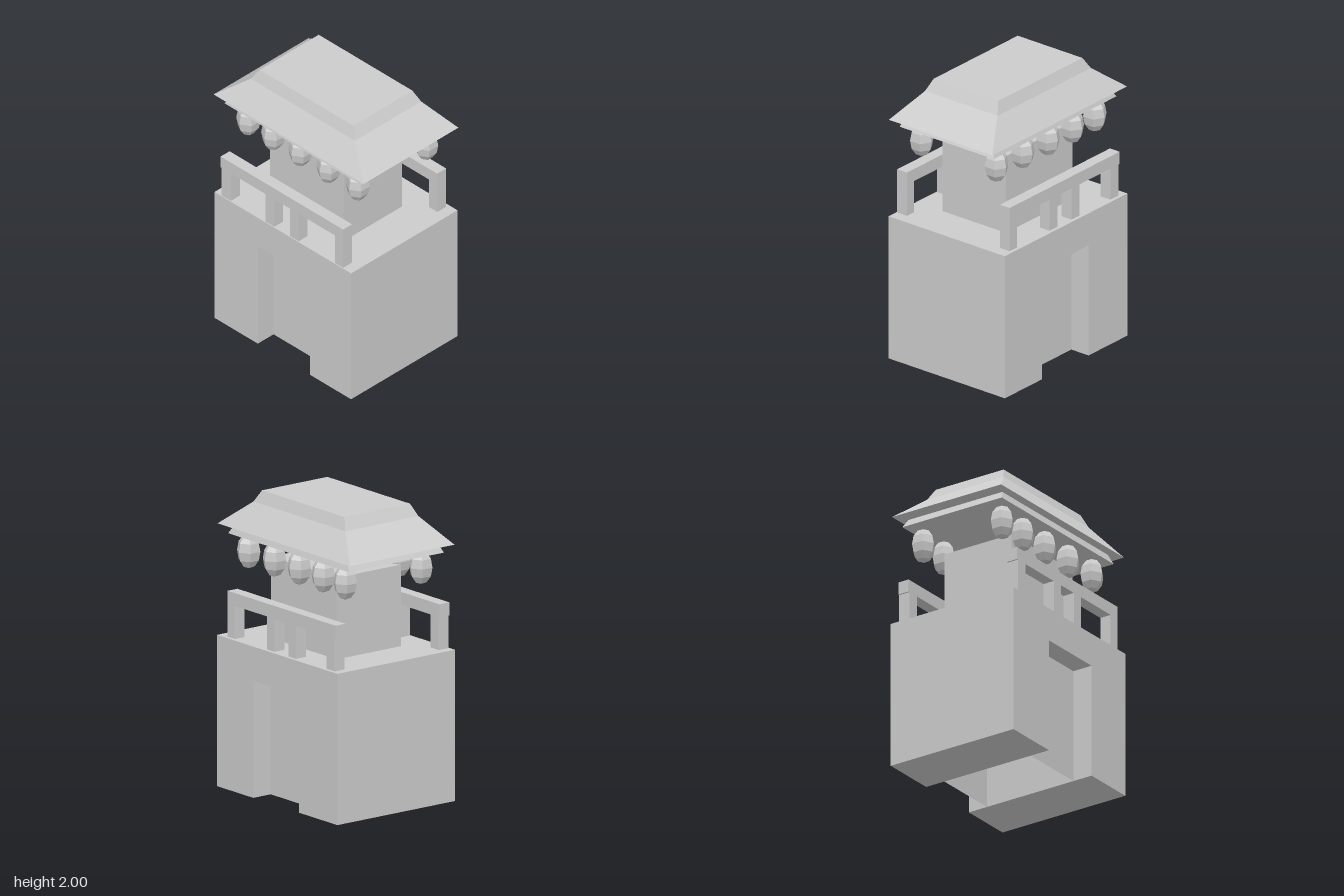
import * as THREE from 'three';

const material = new THREE.MeshStandardMaterial({ color: 0xcccccc, flatShading: true });
const thinMaterial = new THREE.MeshStandardMaterial({ color: 0xcccccc, flatShading: true, side: THREE.DoubleSide });

function add(parent, name, geometry, mat = material) {
  const mesh = new THREE.Mesh(geometry, mat);
  mesh.name = name;
  parent.add(mesh);
  return mesh;
}

// Box given by its extents on each axis
function block(parent, name, [x0, x1], [y0, y1], [z0, z1]) {
  const mesh = add(parent, name, new THREE.BoxGeometry(x1 - x0, y1 - y0, z1 - z0));
  mesh.position.set((x0 + x1) / 2, (y0 + y1) / 2, (z0 + z1) / 2);
  return mesh;
}

// Closed solid through stacked rectangles [y, halfWidth, halfDepth], bottom to top
function stackedRectangles(levels) {
  const positions = [];
  const index = [];
  for (const [y, w, d] of levels) positions.push(-w, y, d, w, y, d, w, y, -d, -w, y, -d);
  for (let i = 0; i < levels.length - 1; i++) {
    for (let j = 0; j < 4; j++) {
      const a = i * 4 + j;
      const b = i * 4 + (j + 1) % 4;
      index.push(a, b, b + 4, a, b + 4, a + 4);
    }
  }
  const t = (levels.length - 1) * 4;
  index.push(0, 2, 1, 0, 3, 2, t, t + 1, t + 2, t, t + 2, t + 3);
  const geometry = new THREE.BufferGeometry();
  geometry.setAttribute('position', new THREE.Float32BufferAttribute(positions, 3));
  geometry.setIndex(index);
  const flat = geometry.toNonIndexed();
  flat.computeVertexNormals();
  return flat;
}

export function createModel() {
  const model = new THREE.Group();
  model.name = 'watchtower';

  // Base: an arch-like block with a doorway cut across it (shape x runs along -z)
  const outline = new THREE.Shape([
    [-0.63, 0], [-0.25, 0], [-0.25, 0.79], [0.23, 0.79],
    [0.23, 0], [0.63, 0], [0.63, 1.02], [-0.63, 1.02],
  ].map(([x, y]) => new THREE.Vector2(x, y)));
  const baseGeometry = new THREE.ExtrudeGeometry(outline, { depth: 0.98, bevelEnabled: false });
  baseGeometry.translate(0, 0, -0.49).rotateY(Math.PI / 2);
  add(model, 'base', baseGeometry);

  // Door panels set back in the two openings
  for (const side of [1, -1]) {
    const door = add(model, side > 0 ? 'leftDoor' : 'rightDoor', new THREE.PlaneGeometry(0.48, 0.79), thinMaterial);
    door.position.set(side * 0.345, 0.395, 0.01);
    door.rotation.y = side * Math.PI / 2;
  }

  // Upper room and the neck carrying the roof
  block(model, 'upperRoom', [-0.27, 0.265], [1.02, 1.57], [-0.34, 0.345]);
  block(model, 'roofNeck', [-0.105, 0.103], [1.57, 1.69], [-0.13, 0.135]);

  // Railings: top bar on four posts along each side
  const posts = [[0.475, 0.55], [0.06, 0.14], [-0.165, -0.085], [-0.57, -0.485]];
  for (const [name, xs] of [['leftRailing', [0.383, 0.465]], ['rightRailing', [-0.483, -0.401]]]) {
    const railing = new THREE.Group();
    railing.name = name;
    block(railing, 'topBar', xs, [1.243, 1.33], [-0.58, 0.55]);
    for (const zs of posts) block(railing, 'post', xs, [1.02, 1.243], zs);
    model.add(railing);
  }

  // Roof: flared eave plate under a two-pitch hipped top
  add(model, 'eavePlate', stackedRectangles([[1.69, 0.397, 0.63], [1.75, 0.375, 0.593]]));
  add(model, 'roof', stackedRectangles([[1.75, 0.436, 0.692], [1.92, 0.305, 0.48], [2, 0.272, 0.432]]));

  // Hanging lanterns: six-sided ovals in a row under each long eave
  const lantern = new THREE.SphereGeometry(1, 6, 6).scale(0.082, 0.118, 0.082);
  for (const x of [-0.308, 0.321]) {
    for (const z of [0.51, 0.24, -0.02, -0.27, -0.5]) {
      add(model, 'lantern', lantern).position.set(x, 1.584, z);
    }
  }

  return model;
}
